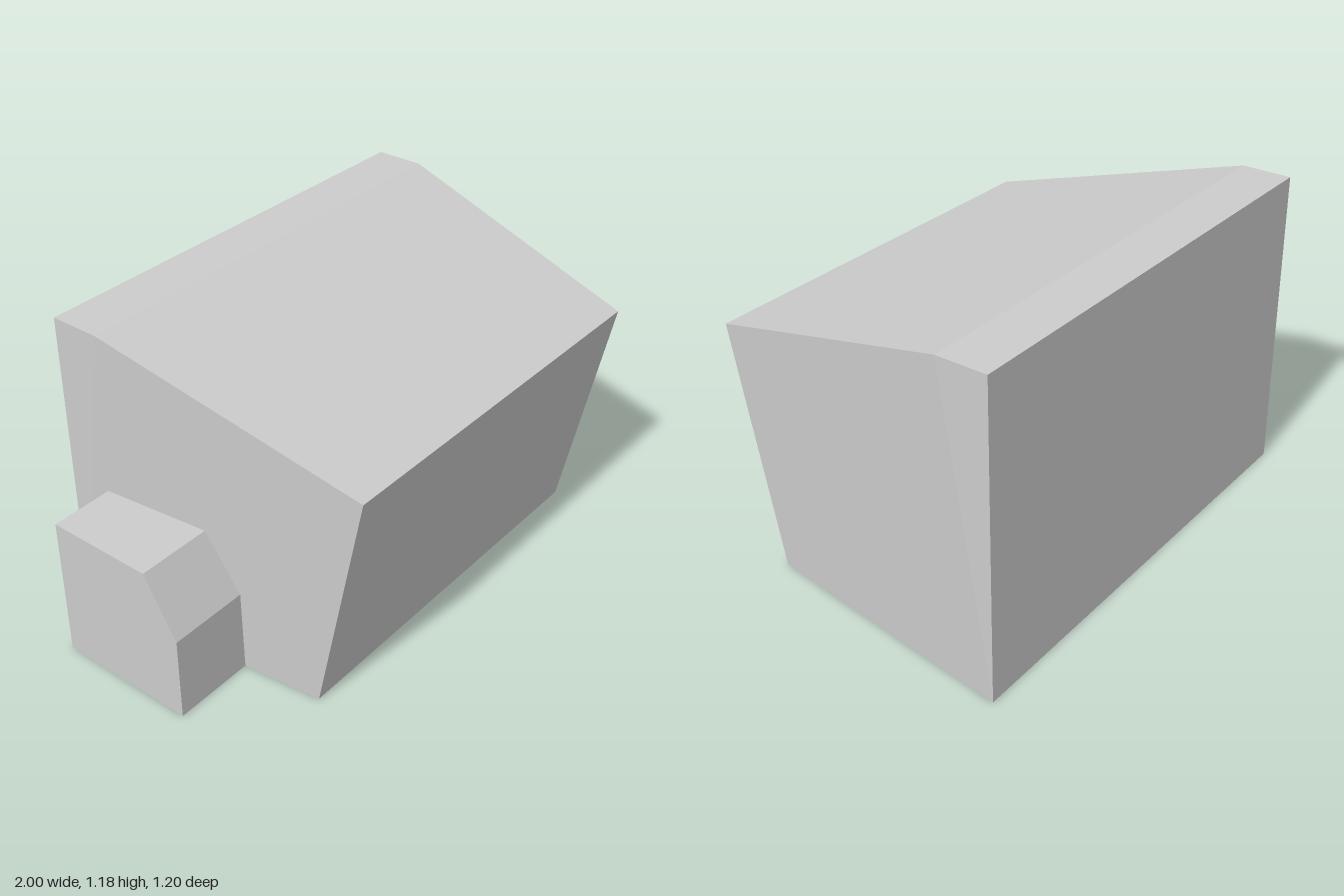
import * as THREE from 'three';

// Solid between two matching profiles, each a list of [x, y, z] corners running
// anticlockwise as seen from +x, starting at the bottom back corner.
function loft(left, right) {
  const pos = [];
  const tri = (a, b, c) => pos.push(...a, ...b, ...c);
  const n = left.length;
  for (let i = 0; i < n; i++) {
    const j = (i + 1) % n;
    tri(right[i], left[i], left[j]);
    tri(right[i], left[j], right[j]);
  }
  for (let i = 1; i < n - 1; i++) {
    tri(right[0], right[i], right[i + 1]);
    tri(left[0], left[i + 1], left[i]);
  }
  const geometry = new THREE.BufferGeometry();
  geometry.setAttribute('position', new THREE.Float32BufferAttribute(pos, 3));
  geometry.computeVertexNormals();
  return geometry;
}

export function createModel() {
  const group = new THREE.Group();
  const grey = new THREE.MeshStandardMaterial({ color: 0xcccccc });
  grey.name = 'light grey';

  const add = (name, left, right) => {
    const mesh = new THREE.Mesh(loft(left, right), grey);
    mesh.name = name;
    group.add(mesh);
  };

  // Main body: upright back, sloping top, overhanging narrower front
  const body = [[0, -0.6], [1.185, -0.6], [1.185, -0.41], [0.912, 0.6], [0, 0.417]];
  const bodySide = (back, front) => body.map(([y, z], i) => [i < 3 ? back : front, y, z]);
  add('mainBody', bodySide(-0.765, -0.65), bodySide(1, 0.88));

  // Small side box with a chamfered front, ending just inside the body wall
  const box = [[0, -0.435], [0.552, -0.435], [0.552, -0.02], [0.33, 0.11], [0, 0.11]];
  const wall = (y, z) => -0.755 + 0.115 * (z + 0.6) - 0.02 * y;
  add('sideBox',
    box.map(([y, z]) => [-1, y, z]),
    box.map(([y, z]) => [wall(y, z), y, z]));

  return group;
}
